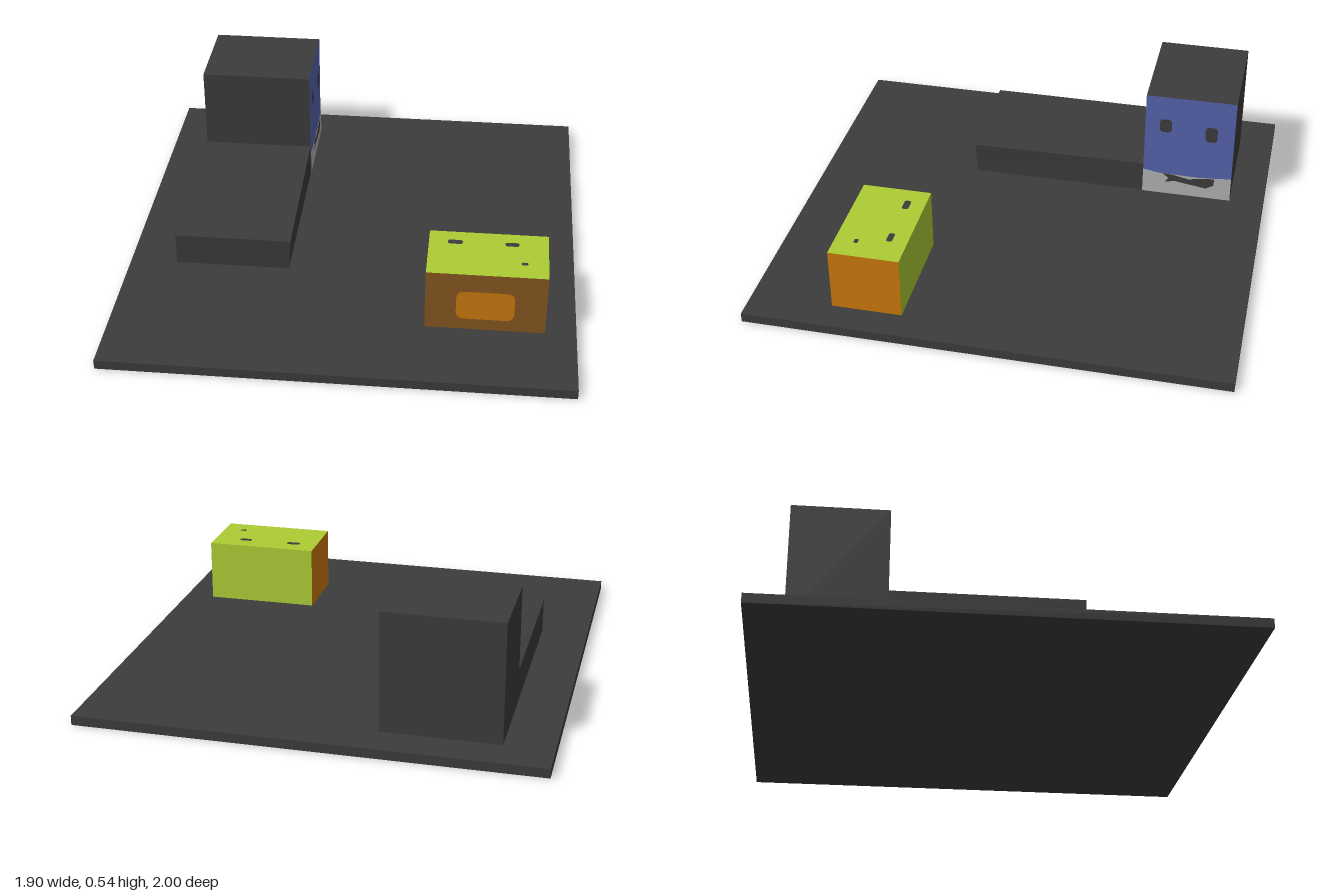
import * as THREE from 'three';

function mat(name, color) {
  const m = new THREE.MeshStandardMaterial({ color });
  m.name = name;
  return m;
}

export function createModel() {
  const charcoal = mat('charcoal', 0x3c3c3c);
  const blue = mat('blue', 0x5664ae);
  const grey = mat('grey', 0xb2b2b2);
  const lime = mat('lime', 0xadcc34);
  const brown = mat('brown', 0x875722);
  const orange = mat('orange', 0xcc790d);

  const model = new THREE.Group();

  function add(name, geometry, material) {
    const mesh = new THREE.Mesh(geometry, material);
    mesh.name = name;
    model.add(mesh);
    return mesh;
  }

  // Box given by its limits on each axis
  function block(name, [x0, x1], [y0, y1], [z0, z1], material) {
    const g = new THREE.BoxGeometry(x1 - x0, y1 - y0, z1 - z0);
    g.translate((x0 + x1) / 2, (y0 + y1) / 2, (z0 + z1) / 2);
    return add(name, g, material);
  }

  // Flat painted plates: facing +x (u = -z), +y (v = -z) or +z
  function plate(name, shape, facing, level, material) {
    const g = new THREE.ShapeGeometry(shape, 8);
    if (facing === 'x') g.rotateY(Math.PI / 2).translate(level, 0, 0);
    else if (facing === 'y') g.rotateX(-Math.PI / 2).translate(0, level, 0);
    else g.translate(0, 0, level);
    return add(name, g, material);
  }

  const outline = (points) => new THREE.Shape(points.map(([u, v]) => new THREE.Vector2(u, v)));

  function roundedRect(u0, u1, v0, v1, r) {
    const s = new THREE.Shape();
    s.moveTo(u0 + r, v0);
    s.lineTo(u1 - r, v0);
    s.quadraticCurveTo(u1, v0, u1, v0 + r);
    s.lineTo(u1, v1 - r);
    s.quadraticCurveTo(u1, v1, u1 - r, v1);
    s.lineTo(u0 + r, v1);
    s.quadraticCurveTo(u0, v1, u0, v1 - r);
    s.lineTo(u0, v0 + r);
    s.quadraticCurveTo(u0, v0, u0 + r, v0);
    return s;
  }

  // Ground slab
  block('base', [-0.95, 0.95], [0, 0.04], [-1, 1], charcoal);

  // Low body, leaning slightly outwards at the top of its free sides
  const body = block('lowBody', [-0.75, -0.265], [0.04, 0.183], [-0.455, 0.313], charcoal);
  const p = body.geometry.attributes.position;
  for (let i = 0; i < p.count; i++) {
    if (p.getY(i) < 0.1) continue;
    if (p.getX(i) > -0.5 && p.getZ(i) > 0) p.setX(i, -0.255);
    if (p.getZ(i) > 0) p.setZ(i, 0.318);
  }
  body.geometry.computeVertexNormals();

  // Tall block with a face painted on its +x side
  block('tallBlock', [-0.75, -0.265], [0.04, 0.54], [-0.85, -0.455],
    [blue, charcoal, charcoal, charcoal, charcoal, charcoal]);
  plate('chin', outline([
    [0.455, 0.04], [0.85, 0.04], [0.85, 0.155], [0.78, 0.148], [0.7, 0.143],
    [0.6, 0.145], [0.53, 0.145], [0.455, 0.158],
  ]), 'x', -0.262, grey);
  plate('mouth', outline([
    [0.545, 0.148], [0.59, 0.145], [0.66, 0.13], [0.71, 0.14], [0.775, 0.147],
    [0.775, 0.113], [0.74, 0.092], [0.65, 0.105], [0.6, 0.113], [0.555, 0.103], [0.57, 0.125],
  ]), 'x', -0.259, charcoal);
  plate('eyeFront', roundedRect(0.52, 0.573, 0.364, 0.43, 0.02), 'x', -0.261, charcoal);
  plate('eyeBack', roundedRect(0.722, 0.775, 0.337, 0.412, 0.02), 'x', -0.261, charcoal);

  // Small block: orange ends, lime top and back, brown front
  block('smallBlock', [0.335, 0.823], [0.04, 0.31], [0.36, 0.655],
    [orange, orange, lime, lime, brown, lime]);
  plate('frontPanel', roundedRect(0.46, 0.695, 0.093, 0.228, 0.035), 'z', 0.658, orange);

  // Dark marks on the small block's top
  for (const [x, z, w, h] of [[0.443, 0.436, 0.06, 0.028], [0.675, 0.436, 0.056, 0.026], [0.727, 0.565, 0.026, 0.018]]) {
    plate('topMark', roundedRect(x - w / 2, x + w / 2, -z - h / 2, -z + h / 2, h * 0.4), 'y', 0.313, charcoal);
  }

  return model;
}
